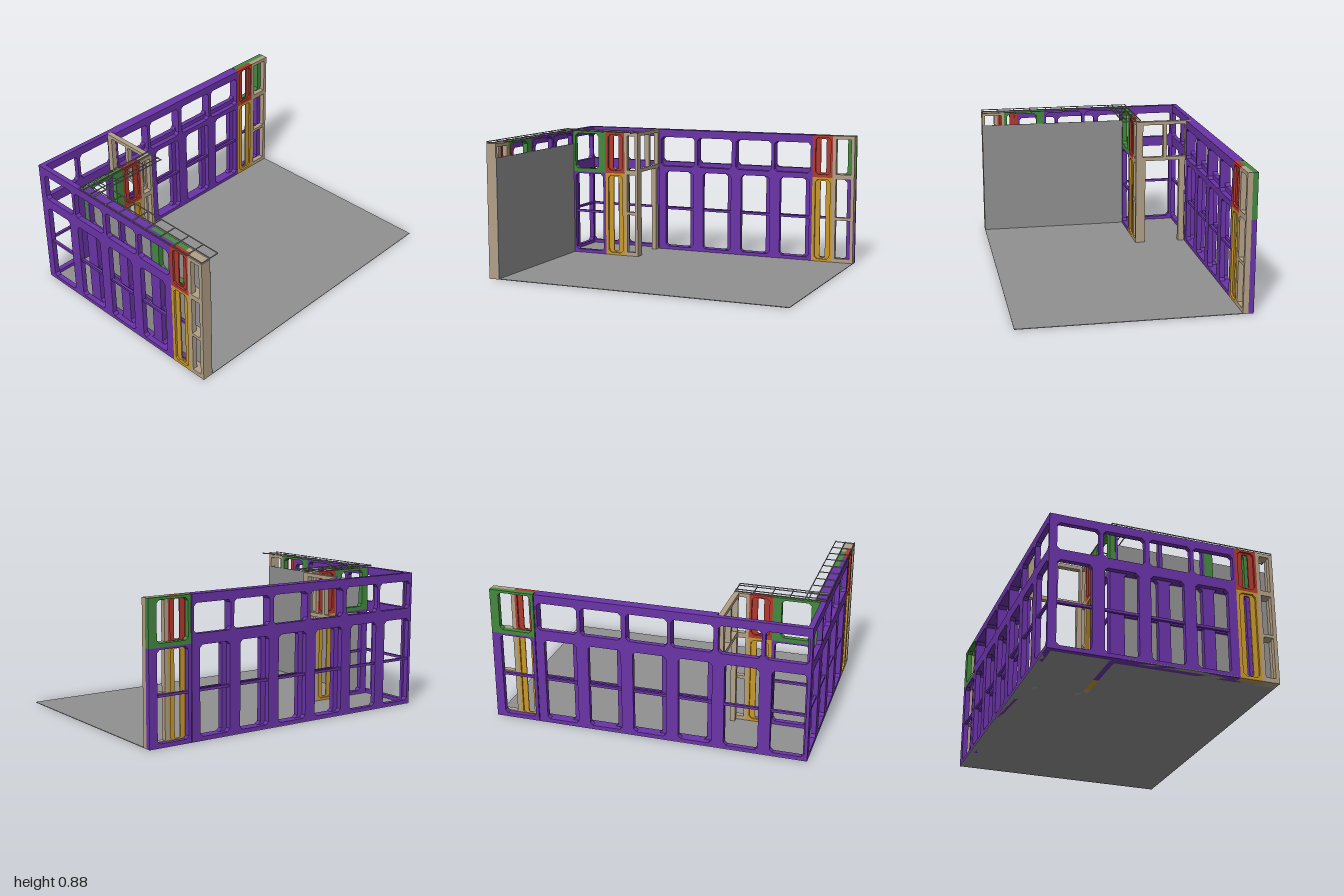
import * as THREE from 'three';

const mat = (name, color) => {
  const m = new THREE.MeshStandardMaterial({ color });
  m.name = name;
  return m;
};

export function createModel() {
  const purple = mat('purple', 0x6a34a8), green = mat('green', 0x43893f), red = mat('red', 0xb03a2e);
  const yellow = mat('yellow', 0xc9982c), tan = mat('tan', 0xb3a188), grey = mat('grey', 0x919191);
  const root = new THREE.Group();

  const P = 0.285;              // panel pitch
  const T = 0.033;              // layer thickness
  const MID = 0.58, TOP = 0.865;

  // Closed outline of a rectangle with cut corners
  const outline = (Type, [u0, u1, v0, v1], c) => {
    const s = new Type();
    const pts = c > 0
      ? [[u0 + c, v0], [u1 - c, v0], [u1, v0 + c], [u1, v1 - c], [u1 - c, v1], [u0 + c, v1], [u0, v1 - c], [u0, v0 + c]]
      : [[u0, v0], [u1, v0], [u1, v1], [u0, v1]];
    s.setFromPoints(pts.map(([x, y]) => new THREE.Vector2(x, y)));
    s.closePath();
    return s;
  };

  const box = (parent, name, m, x0, x1, y0, y1, z0, z1) => {
    const b = new THREE.Mesh(new THREE.BoxGeometry(x1 - x0, y1 - y0, z1 - z0), m);
    b.position.set((x0 + x1) / 2, (y0 + y1) / 2, (z0 + z1) / 2);
    b.name = name;
    parent.add(b);
    return b;
  };

  // Plate with openings, extruded through one layer
  const plate = (wall, name, m, rect, holes, cut = 0.018, depth = T, w = 0) => {
    const s = outline(THREE.Shape, rect, 0);
    holes.forEach(h => s.holes.push(outline(THREE.Path, h, cut)));
    const mesh = new THREE.Mesh(new THREE.ExtrudeGeometry(s, { depth, bevelEnabled: false }), m);
    mesh.position.z = w;
    mesh.name = name;
    wall.add(mesh);
  };

  // Lower panel: one tall opening crossed by a slim rail
  const lower = (wall, u, a, b) => {
    plate(wall, 'lowerPanel', purple, [u, u + P, 0, MID], [[u + a, u + P - b, 0.026, 0.568]]);
    box(wall, 'panelRail', purple, u + a, u + P - b, 0.293, 0.309, 0.008, T - 0.008);
  };

  // Upper panel: double width with a central mullion
  const upper = (wall, u, v0, v1) => {
    plate(wall, 'upperPanel', purple, [u, u + 2 * P, MID, TOP],
      [[u + 0.015, u + P - 0.01, v0, v1], [u + P + 0.012, u + 2 * P - 0.015, v0, v1]]);
  };

  const greenPanel = (wall, u, a, b) =>
    plate(wall, 'greenUpperPanel', green, [u, u + P, MID, TOP], [[u + a, u + P - b, 0.605, 0.85]]);

  // Narrow panels: deep rim with a thin slotted web
  const narrow = (wall, u0, u1) => {
    const c = (u0 + u1) / 2 + 0.003;
    [['yellowPanel', yellow, 0, MID], ['redPanel', red, MID, TOP]].forEach(([name, m, v0, v1]) => {
      const pocket = [u0 + 0.02, u1 - 0.015, v0 + 0.02, v1 - 0.015];
      plate(wall, name + 'Rim', m, [u0, u1, v0, v1], [pocket]);
      plate(wall, name + 'Web', m, pocket, [[c - 0.019, c + 0.019, v0 + 0.03, v1 - 0.025]], 0.006, 0.008, 0.012);
    });
  };

  // Timber frame with three stacked openings
  const timber = (wall, u0, u1, a = 0.024) =>
    plate(wall, 'timberFrame', tan, [u0, u1, 0, TOP],
      [[0.03, 0.293], [0.313, 0.572], [0.605, 0.842]].map(([v0, v1]) => [u0 + a, u1 - a, v0, v1]), 0);

  // A wall layer along x (depth toward +z), or along z (depth toward -x)
  const layerX = (name, z) => {
    const g = new THREE.Group();
    g.name = name;
    g.position.z = z;
    root.add(g);
    return g;
  };
  const layerZ = (name, xMax) => {
    const g = layerX(name, 0);
    g.rotation.y = -Math.PI / 2;
    g.position.x = xMax;
    return g;
  };

  // Back wall, outer layer
  const backOuter = layerX('backWallOuter', -0.715);
  for (let i = 0; i < 7; i++) lower(backOuter, -1 + i * P + (i === 6 ? 0.005 : 0), 0.02, 0.055);
  for (let i = 0; i < 3; i++) upper(backOuter, -1 + 2 * i * P, 0.635, 0.812);
  greenPanel(backOuter, 0.715, 0.02, 0.055);

  // Back wall, inner layer
  const backInner = layerX('backWallInner', -0.682);
  for (let i = 0; i < 4; i++) lower(backInner, -0.43 + i * P, 0.055, 0.02);
  for (let i = 0; i < 2; i++) upper(backInner, -0.43 + 2 * i * P, 0.605, 0.812);
  narrow(backInner, 0.71, 0.85);
  timber(backInner, 0.85, 1);

  // Side wall, outer layer
  const sideOuter = layerZ('sideWallOuter', -1 + T);
  for (let i = 0; i < 4; i++) lower(sideOuter, -0.682 + i * P, 0.02, 0.055);
  for (let i = 0; i < 2; i++) upper(sideOuter, -0.682 + 2 * i * P, 0.635, 0.812);
  narrow(sideOuter, 0.458, 0.6);
  timber(sideOuter, 0.6, 0.712);

  // Side wall, inner layer
  const sideInner = layerZ('sideWallInner', -1 + 2 * T);
  for (let i = 0; i < 3; i++) lower(sideInner, -0.3 + i * P, 0.055, 0.02);
  upper(sideInner, -0.3, 0.605, 0.85);
  greenPanel(sideInner, 0.27, 0.055, 0.02);
  timber(sideInner, 0.555, 0.712, 0.02);

  // Small room, front partition
  const roomFront = layerX('roomFrontWall', -0.333);
  lower(roomFront, -0.965, 0.05, 0.02);
  greenPanel(roomFront, -0.965, 0.05, 0.055);
  narrow(roomFront, -0.68, -0.535);
  timber(roomFront, -0.535, -0.435, 0.02);

  // Small room, door partition
  const doorWall = layerZ('doorWall', -0.435);
  box(doorWall, 'doorPost', tan, -0.366, -0.333, 0, 0.59, 0, T);
  box(doorWall, 'doorPost', tan, -0.645, -0.605, 0, 0.59, 0, T);
  plate(doorWall, 'doorTransom', tan, [-0.682, -0.333, 0.59, TOP],
    [[-0.49, -0.348, 0.615, 0.842], [-0.645, -0.515, 0.615, 0.842]], 0);

  // Floor and lining board
  box(root, 'floor', grey, -1, 1, 0, 0.004, -0.715, 0.712);
  box(root, 'liningBoard', grey, -0.934, -0.929, 0, 0.775, -0.3, 0.712);

  // Cable tray made of slim rods lying on the wall tops
  const tray = new THREE.Group();
  tray.name = 'cableTray';
  root.add(tray);
  const r = 0.0025;
  const rodX = (x0, x1, z, y = 0.868) => box(tray, 'trayRod', grey, x0, x1, y, y + 2 * r, z - r, z + r);
  const rodZ = (x, z0, z1, y = 0.873) => box(tray, 'trayRod', grey, x - r, x + r, y, y + 2 * r, z0, z1);
  [-0.997, -0.935, -0.872].forEach(x => rodZ(x, -0.33, 0.712));
  for (let i = 0; i < 9; i++) rodX(-1, -0.87, -0.205 + i * 0.1141);
  [-0.33, -0.3, -0.235, -0.205].forEach(z => rodX(-1, -0.44, z, 0.873));
  for (let i = 0; i < 5; i++) rodZ(-0.89 + i * 0.112, -0.33, -0.205, 0.868);

  return root;
}
